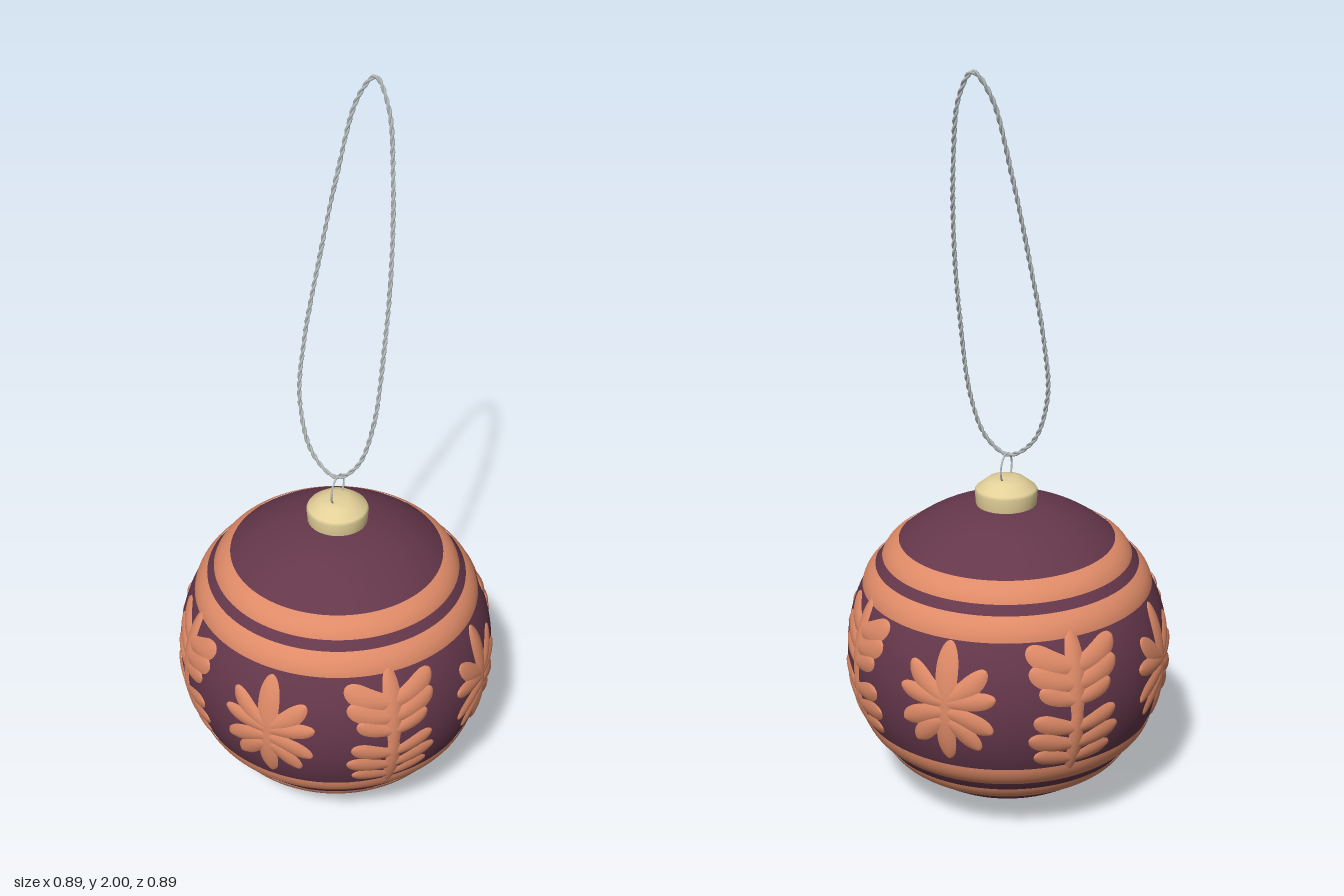
import * as THREE from 'three';
import { mergeGeometries } from 'three/addons/utils/BufferGeometryUtils.js';

const RX = 0.437, RY = 0.42, CY = 0.42;

// Point on the ball at a height and angle, lifted off the surface
function onBall(y, theta, lift) {
  const k = (y - CY) / RY;
  const r = RX * Math.sqrt(Math.max(0, 1 - k * k));
  const n = new THREE.Vector2(r / (RX * RX), (y - CY) / (RY * RY)).normalize();
  const rr = r + n.x * lift;
  return new THREE.Vector3(rr * Math.sin(theta), y + n.y * lift, rr * Math.cos(theta));
}

// Raised ring that follows the ball between two heights, leaning back by a small tilt
function bandGeometry(y0, y1, tilt) {
  const pts = [];
  for (let i = 0; i <= 12; i++) {
    const s = i / 6 - 1;
    const p = onBall(y0 + (y1 - y0) * i / 12, 0, 0.001 + 0.005 * (1 - s * s));
    pts.push(new THREE.Vector2(p.z, p.y - CY));
  }
  return new THREE.LatheGeometry(pts, 128).rotateX(-tilt).translate(0, CY, 0);
}

// Lobe outline: broad root swelling to a rounded tip
function lobeOutline(t) {
  if (t < 0.65) return 0.6 + 0.4 * Math.sin(t / 0.65 * Math.PI / 2);
  return Math.sqrt(Math.max(0, 1 - ((t - 0.65) / 0.35) ** 2));
}

// Softly domed leaf lobe along a curve [u, y] drawn on the ball
function lobeGeometry(theta0, [a, b, c], width) {
  const curve = new THREE.QuadraticBezierCurve(
    new THREE.Vector2(...a), new THREE.Vector2(...b), new THREE.Vector2(...c));
  const pos = [], index = [], NT = 16, NS = 8;
  for (let i = 0; i <= NT; i++) {
    const t = 1 - (1 - i / NT) ** 1.5;
    const p = curve.getPoint(t), d = curve.getTangent(t), shape = lobeOutline(t);
    for (let j = 0; j <= NS; j++) {
      const s = (j / NS) * 2 - 1, w = s * width * shape;
      const lift = 0.0007 + 0.006 * (1 - s * s) * Math.sqrt(shape);
      const q = onBall(p.y + d.x * w, theta0 + (p.x - d.y * w) / RX, lift);
      pos.push(q.x, q.y, q.z);
      if (i < NT && j < NS) {
        const k = i * (NS + 1) + j, m = k + NS + 1;
        index.push(k, m, m + 1, k, m + 1, k + 1);
      }
    }
  }
  const g = new THREE.BufferGeometry();
  g.setAttribute('position', new THREE.Float32BufferAttribute(pos, 3));
  g.setIndex(index);
  g.computeVertexNormals();
  return g;
}

// Motif: centre lobes plus mirrored pairs
function motifGeometry(theta, centre, pairs) {
  const parts = centre.map(([path, w]) => lobeGeometry(theta, path, w));
  for (const [path, w] of pairs) {
    for (const side of [1, -1]) {
      parts.push(lobeGeometry(theta, path.map(([u, y]) => [u * side, y]), w));
    }
  }
  return mergeGeometries(parts);
}

const leafCentre = [
  [[[0, 0.42], [0, 0.5], [0, 0.603]], 0.031],
  [[[0, 0.45], [0, 0.37], [0, 0.275]], 0.026],
];
const leafPairs = [
  [[[0, 0.455], [0.05, 0.475], [0.106, 0.54]], 0.026],
  [[[0, 0.445], [0.06, 0.455], [0.132, 0.468]], 0.024],
  [[[0, 0.42], [0.06, 0.415], [0.124, 0.372]], 0.026],
  [[[0, 0.395], [0.045, 0.38], [0.09, 0.318]], 0.025],
];
const treeCentre = [
  [[[0, 0.45], [0, 0.34], [0, 0.225]], 0.021],
  [[[0, 0.4], [0, 0.52], [0, 0.632]], 0.026],
];
// Tree branches: root height, tip height, reach, half width
const treePairs = [
  [0.538, 0.59, 0.132, 0.029], [0.492, 0.54, 0.125, 0.028], [0.45, 0.487, 0.1, 0.024],
  [0.37, 0.408, 0.115, 0.026], [0.32, 0.352, 0.128, 0.027], [0.272, 0.296, 0.112, 0.025],
].map(([y0, y1, u, w]) => [[[0, y0], [u * 0.55, y0 + 0.012], [u, y1]], w]);

// Strand winding around the closed cord loop
class Strand extends THREE.Curve {
  constructor(path, normal, phase) {
    super();
    Object.assign(this, { path, normal, phase });
  }
  getPoint(t, target = new THREE.Vector3()) {
    const side = this.normal.clone().cross(this.path.getTangentAt(t)).normalize();
    const a = t * Math.PI * 2 * 44 + this.phase;
    return target.copy(this.path.getPointAt(t))
      .addScaledVector(side, 0.0028 * Math.cos(a))
      .addScaledVector(this.normal, 0.0028 * Math.sin(a));
  }
}

export function createModel() {
  const material = (name, color) => {
    const m = new THREE.MeshStandardMaterial({ color });
    m.name = name;
    return m;
  };
  const plum = material('plum', 0x65374b);
  const copper = material('copper', 0xde8a67);
  const gold = material('pale gold', 0xe2cf98);
  const grey = material('cord grey', 0xb2b8b8);

  const model = new THREE.Group();
  model.name = 'bauble';
  const add = (name, geometry, mat) => {
    const mesh = new THREE.Mesh(geometry, mat);
    mesh.name = name;
    model.add(mesh);
    return mesh;
  };

  // Ball
  const profile = [];
  for (let i = 0; i <= 64; i++) {
    const a = Math.PI * i / 64;
    profile.push(new THREE.Vector2(RX * Math.sin(a), CY - RY * Math.cos(a)));
  }
  add('ball', new THREE.LatheGeometry(profile, 128), plum);

  // Raised bands above and below the motifs
  for (const [y0, y1, tilt] of [
    [0.69, 0.735, 0.015], [0.61, 0.667, 0.015], [0.188, 0.25, 0], [0.11, 0.16, 0]]) {
    add('band', bandGeometry(y0, y1, tilt), copper);
  }

  // Alternating leaf and tree motifs around the ball
  for (let i = 0; i < 4; i++) {
    const theta = i * Math.PI / 2;
    add('leafMotif', motifGeometry(theta, leafCentre, leafPairs), copper);
    add('treeMotif', motifGeometry(theta + Math.PI / 4, treeCentre, treePairs), copper);
  }

  // Cap with bevelled shoulder and a gently domed top
  const capProfile = [[0.076, 0.815], [0.081, 0.832], [0.084, 0.868], [0.08, 0.876],
    [0.05, 0.9], [0.03, 0.905], [0, 0.907]].map(p => new THREE.Vector2(...p));
  add('cap', new THREE.LatheGeometry(capProfile, 32), gold).position.z = -0.01;

  // Hanging ring
  const ring = add('ring', new THREE.TorusGeometry(0.04, 0.0026, 8, 40), grey);
  ring.rotation.y = Math.PI / 2;
  ring.position.set(0, 0.93, -0.01);

  // Twisted cord loop leaning backwards
  const slope = 0.24;
  const loop = new THREE.CatmullRomCurve3([
    [-0.005, 0.968], [0.052, 1.013], [0.084, 1.13], [0.09, 1.34], [0.084, 1.55],
    [0.063, 1.76], [0.03, 1.93], [-0.012, 1.994], [-0.052, 1.94], [-0.088, 1.74],
    [-0.113, 1.53], [-0.133, 1.315], [-0.13, 1.155], [-0.079, 1.018],
  ].map(([x, y]) => new THREE.Vector3(x, y, -0.01 - (y - 0.97) * slope)), true);
  loop.arcLengthDivisions = 600;
  const normal = new THREE.Vector3(0, slope, 1).normalize();
  for (const phase of [0, Math.PI]) {
    add('cordStrand', new THREE.TubeGeometry(new Strand(loop, normal, phase), 560, 0.0036, 6, true), grey);
  }
  return model;
}
